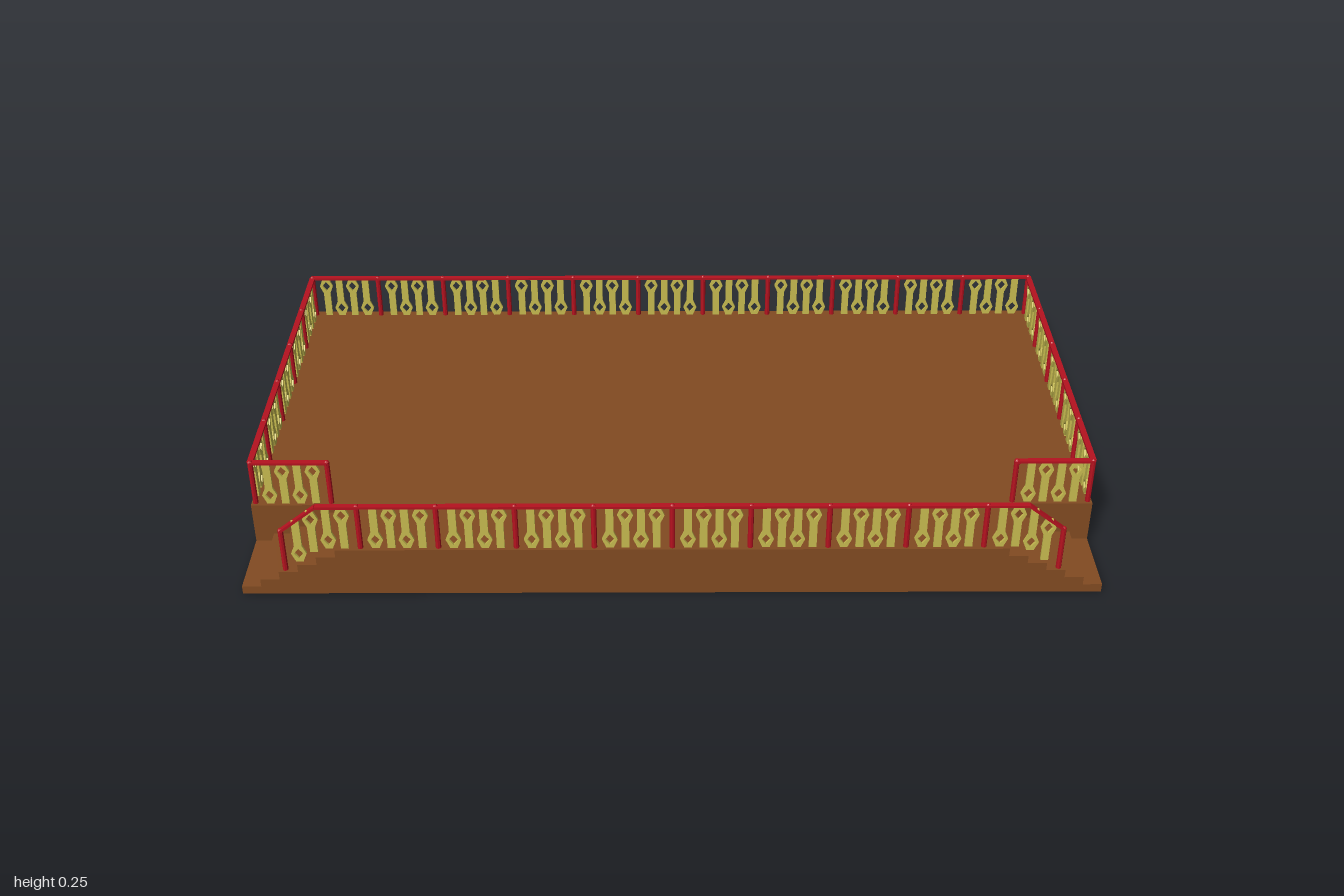
import * as THREE from 'three';
import { mergeGeometries } from 'three/addons/utils/BufferGeometryUtils.js';

const W = 1, D = 0.552;            // half width and half depth of the platform
const H = 0.125;                   // deck height
const SX = 0.775, SZ = 0.375;      // inner corner of the stair notches
const RAIL = 0.24;                 // handrail height
const PANEL = 0.18;                // post spacing

const mat = (color, extra = {}) => new THREE.MeshStandardMaterial({ color, ...extra });
const wood = mat(0x824b22, { side: THREE.DoubleSide });
const red = mat(0xb5121f, { flatShading: true });
const yellow = mat(0xc8bc50);

function mesh(name, geometry, material) {
  const m = new THREE.Mesh(geometry, material);
  m.name = name;
  return m;
}

// Hollow platform: deck with two notched front corners and a skirt, open below
function platform() {
  const outline = [
    [-W, -D], [W, -D], [W, SZ], [SX, SZ], [SX, D], [-SX, D], [-SX, SZ], [-W, SZ],
  ];
  const group = new THREE.Group();
  group.name = 'platform';
  const shape = new THREE.Shape(outline.map(([x, z]) => new THREE.Vector2(x, -z)));
  group.add(mesh('deck', new THREE.ShapeGeometry(shape).rotateX(-Math.PI / 2).translate(0, H, 0), wood));
  const walls = outline.map(([x1, z1], i) => {
    const [x2, z2] = outline[(i + 1) % outline.length];
    return new THREE.PlaneGeometry(Math.hypot(x2 - x1, z2 - z1), H)
      .rotateY(Math.atan2(-(z1 - z2), x1 - x2))
      .translate((x1 + x2) / 2, H / 2, (z1 + z2) / 2);
  });
  group.add(mesh('skirt', mergeGeometries(walls), wood));
  return group;
}

// Five treads rising from the outer side to the deck
function stairs(side) {
  const n = 5, run = (W - SX) / n, rise = H / (n + 1);
  const pts = [[W, 0]];
  for (let i = 0; i < n; i++) {
    pts.push([W - i * run, (i + 1) * rise], [W - (i + 1) * run, (i + 1) * rise]);
  }
  pts.push([SX, 0]);
  const shape = new THREE.Shape(pts.map(([x, y]) => new THREE.Vector2(side * x, y)));
  const g = new THREE.ExtrudeGeometry(shape, { depth: D - SZ, bevelEnabled: false });
  return mesh(side > 0 ? 'leftStairs' : 'rightStairs', g.translate(0, 0, SZ), wood);
}

// Flat slat that widens to a pierced diamond centred at height c
function slatGeometry(c) {
  const a = 0.009, b = 0.018, h = 0.021, top = RAIL - H;
  const half = [[a, 0], [a, c - h], [b, c], [a, c + h], [a, top]];
  const pts = [...half, ...half.map(([x, y]) => [-x, y]).reverse()];
  const shape = new THREE.Shape(pts.map(([x, y]) => new THREE.Vector2(x, y)));
  const hole = [[0, c - 0.014], [-0.011, c], [0, c + 0.014], [0.011, c]];
  shape.holes.push(new THREE.Path(hole.map(([x, y]) => new THREE.Vector2(x, y))));
  const g = new THREE.ExtrudeGeometry(shape, { depth: 0.006, bevelEnabled: false });
  return g.translate(0, H, -0.003);
}
const lowSlat = slatGeometry(0.023), highSlat = slatGeometry(0.091);

// Post with a small chamfered cap
function postGeometry() {
  const r = 0.0065, top = RAIL + 0.006;
  const profile = [[0, H], [r, H], [r, top - 0.004], [r * 0.5, top], [0, top]];
  return new THREE.LatheGeometry(profile.map(([x, y]) => new THREE.Vector2(x, y)), 8);
}

// Handrail bar between two points of the local xy plane
function barGeometry([x1, y1], [x2, y2]) {
  return new THREE.BoxGeometry(Math.hypot(x2 - x1, y2 - y1), 0.006, 0.014)
    .rotateZ(Math.atan2(y2 - y1, x2 - x1))
    .translate((x1 + x2) / 2, (y1 + y2) / 2, 0);
}

// Railing from one point to another; beyond the bend distance it slopes downward
function railing(name, [x1, z1], [x2, z2], bend = Infinity) {
  const length = Math.hypot(x2 - x1, z2 - z1), half = length / 2;
  const panels = Math.round(length / PANEL), step = length / panels;
  const drop = x => -0.78 * Math.max(0, Math.abs(x) - bend);
  const posts = [], slats = [];
  for (let i = 0; i <= panels; i++) {
    const x = -half + i * step;
    posts.push(postGeometry().translate(x, drop(x), 0));
    if (i === panels) break;
    for (let j = 1; j <= 4; j++) {
      const sx = x + step * j / 5;
      slats.push((j % 2 ? lowSlat : highSlat).clone().translate(sx, drop(sx), 0));
    }
  }
  const xs = bend < half ? [-half, -bend, bend, half] : [-half, half];
  const path = xs.map(x => [x, RAIL + drop(x)]);
  const bars = path.slice(1).map((p, i) => barGeometry(path[i], p));

  const group = new THREE.Group();
  group.name = name;
  group.add(
    mesh('posts', mergeGeometries(posts), red),
    mesh('handrail', mergeGeometries(bars), red),
    mesh('slats', mergeGeometries(slats), yellow),
  );
  group.position.set((x1 + x2) / 2, 0, (z1 + z2) / 2);
  group.rotation.y = Math.atan2(-(z2 - z1), x2 - x1);
  return group;
}

export function createModel() {
  const model = new THREE.Group();
  model.name = 'raisedDeck';
  const rx = 0.99, back = -0.536, front = 0.541, inner = 0.364;
  model.add(
    platform(),
    stairs(1),
    stairs(-1),
    railing('leftRailing', [rx, inner], [rx, back]),
    railing('backRailing', [rx, back], [-rx, back]),
    railing('rightRailing', [-rx, back], [-rx, inner]),
    railing('rightStairRailing', [-rx, inner], [-rx + PANEL, inner]),
    railing('leftStairRailing', [rx - PANEL, inner], [rx, inner]),
    railing('frontRailing', [-0.895, front], [0.895, front], 0.81),
  );
  return model;
}
